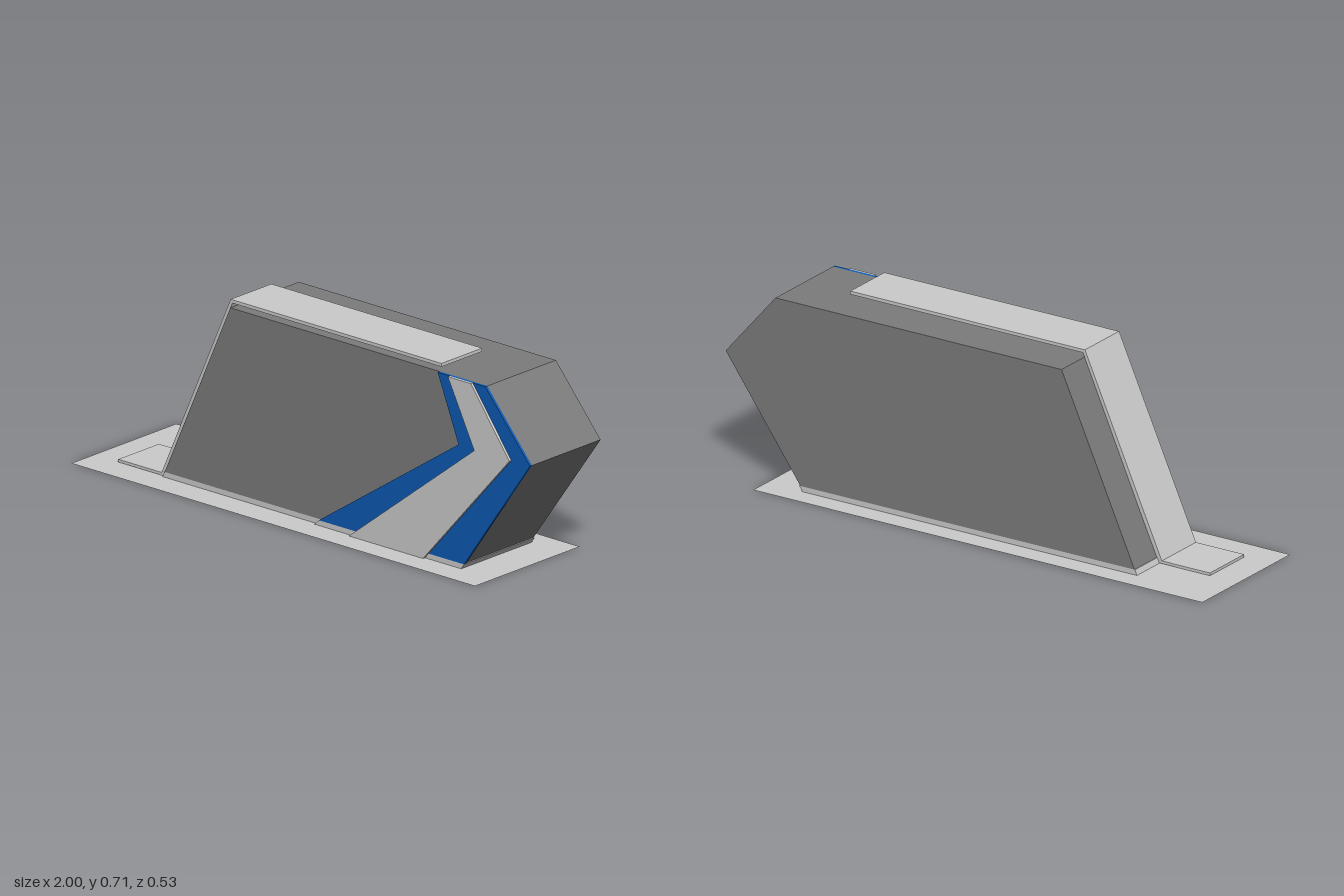
import * as THREE from 'three';

const material = (color) => new THREE.MeshStandardMaterial({ color, side: THREE.DoubleSide, flatShading: true });

// Outline in the x-y plane, extruded from z0 to z1
function slab(name, points, z0, z1, mat) {
  const shape = new THREE.Shape(points.map(([x, y]) => new THREE.Vector2(x, y)));
  const geometry = new THREE.ExtrudeGeometry(shape, { depth: z1 - z0, bevelEnabled: false });
  geometry.translate(0, 0, z0);
  const mesh = new THREE.Mesh(geometry, mat);
  mesh.name = name;
  return mesh;
}

export function createModel() {
  const group = new THREE.Group();
  const light = material(0xcccccc);
  const dark = material(0x7c7c7c);
  const blue = material(0x0d5ab2);

  // Thin ground sheet
  const sheet = new THREE.Mesh(new THREE.PlaneGeometry(1.835, 0.53), light);
  sheet.name = 'groundSheet';
  sheet.rotation.x = -Math.PI / 2;
  sheet.position.x = -0.0825;
  group.add(sheet);

  // Main body with slanted back and pointed nose
  group.add(slab('body', [
    [-0.67, 0.02], [0.695, 0.02], [1, 0.445], [0.797, 0.682], [-0.372, 0.682],
  ], -0.187, 0.16, dark));

  // Plinth, slightly deeper beneath the chevrons
  group.add(slab('plinth', [[-0.68, 0.001], [0.687, 0.001], [0.7, 0.02], [-0.672, 0.02]], -0.187, 0.16, light));
  group.add(slab('plinthStep', [[0.02, 0.001], [0.687, 0.001], [0.7, 0.02], [0.04, 0.02]], 0.16, 0.17, light));

  // Blue chevron panel with a raised pale chevron on it
  group.add(slab('blueChevron', [
    [0.04, 0.02], [0.7, 0.02], [1, 0.445], [0.797, 0.682], [0.58, 0.682], [0.675, 0.445],
  ], 0.16, 0.17, blue));
  group.add(slab('paleChevron', [
    [0.185, 0.001], [0.522, 0.001], [0.915, 0.445], [0.74, 0.682], [0.635, 0.682], [0.755, 0.445],
  ], 0.17, 0.18, light));

  // Folded ribbon: foot, sloping back and roof strip
  group.add(slab('ribbon', [
    [-0.887, 0.002], [-0.677, 0.002], [-0.368, 0.698], [0.583, 0.698],
    [0.583, 0.71], [-0.376, 0.71], [-0.69, 0.012], [-0.887, 0.012],
  ], -0.052, 0.154, light));

  // Spacer holding the roof strip above the body
  group.add(slab('roofSpacer', [[-0.335, 0.682], [0.545, 0.682], [0.545, 0.698], [-0.335, 0.698]], -0.015, 0.12, light));

  return group;
}
